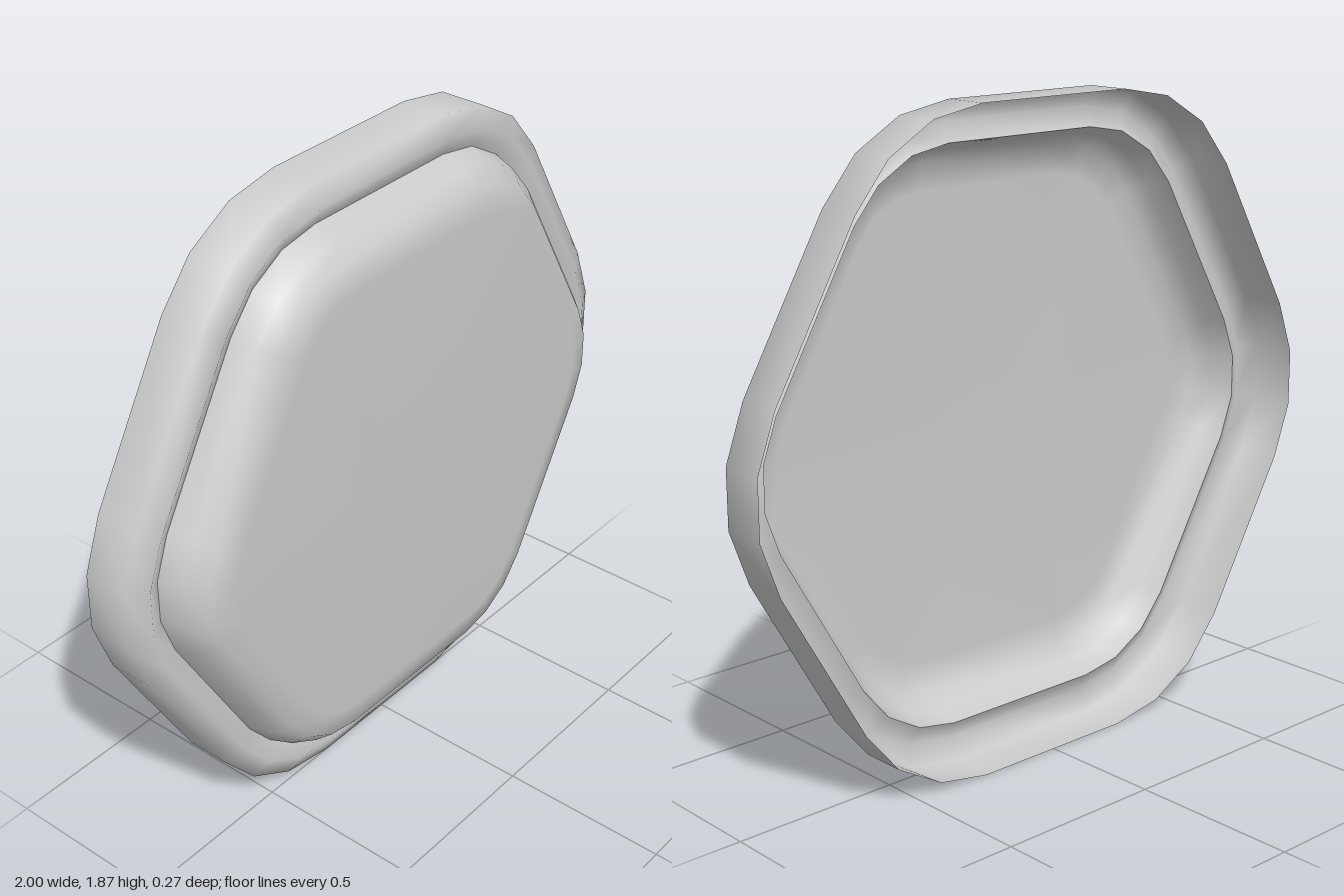
import * as THREE from 'three';

// Rounded hexagon: six corner arcs of three segments each, offset by radius r
const CORNER_DISTANCE = 0.52;
const CENTRE_Y = 0.935;

function hexRing(r, z) {
  const points = [];
  for (let k = 0; k < 6; k++) {
    const corner = (k * Math.PI) / 3;
    for (const step of [-30, -10, 10, 30]) {
      const a = corner + THREE.MathUtils.degToRad(step);
      points.push(
        CORNER_DISTANCE * Math.cos(corner) + r * Math.cos(a),
        CENTRE_Y + CORNER_DISTANCE * Math.sin(corner) + r * Math.sin(a),
        z
      );
    }
  }
  return points;
}

// Sweeps a [radius, z] profile around the hexagon, optionally closed by a flat face
function hexShell(name, profile, capped) {
  const n = 24;
  const positions = profile.flatMap(([r, z]) => hexRing(r, z));
  const index = [];
  for (let i = 0; i < profile.length - 1; i++) {
    for (let j = 0; j < n; j++) {
      const a = i * n + j;
      const b = i * n + ((j + 1) % n);
      index.push(a, b, b + n, a, b + n, a + n);
    }
  }
  if (capped) {
    const last = (profile.length - 1) * n;
    const centre = positions.length / 3;
    positions.push(0, CENTRE_Y, profile[profile.length - 1][1]);
    for (let j = 0; j < n; j++) index.push(last + j, last + ((j + 1) % n), centre);
  }
  const geometry = new THREE.BufferGeometry();
  geometry.setAttribute('position', new THREE.Float32BufferAttribute(positions, 3));
  geometry.setIndex(index);
  geometry.computeVertexNormals();
  const mesh = new THREE.Mesh(
    geometry,
    new THREE.MeshStandardMaterial({ color: 0xcccccc, side: THREE.DoubleSide })
  );
  mesh.name = name;
  return mesh;
}

export function createModel() {
  const group = new THREE.Group();
  group.name = 'hexagonalLid';

  // Skirt and rounded bead, open at the back
  group.add(hexShell('rim', [[0.485, -0.135], [0.485, 0], [0.425, 0.03], [0.37, 0]], false));

  // Raised front panel, meeting the rim in a sharp groove
  group.add(hexShell('panel', [[0.37, 0], [0.347, 0.07], [0.305, 0.118], [0.225, 0.135]], true));

  return group;
}
